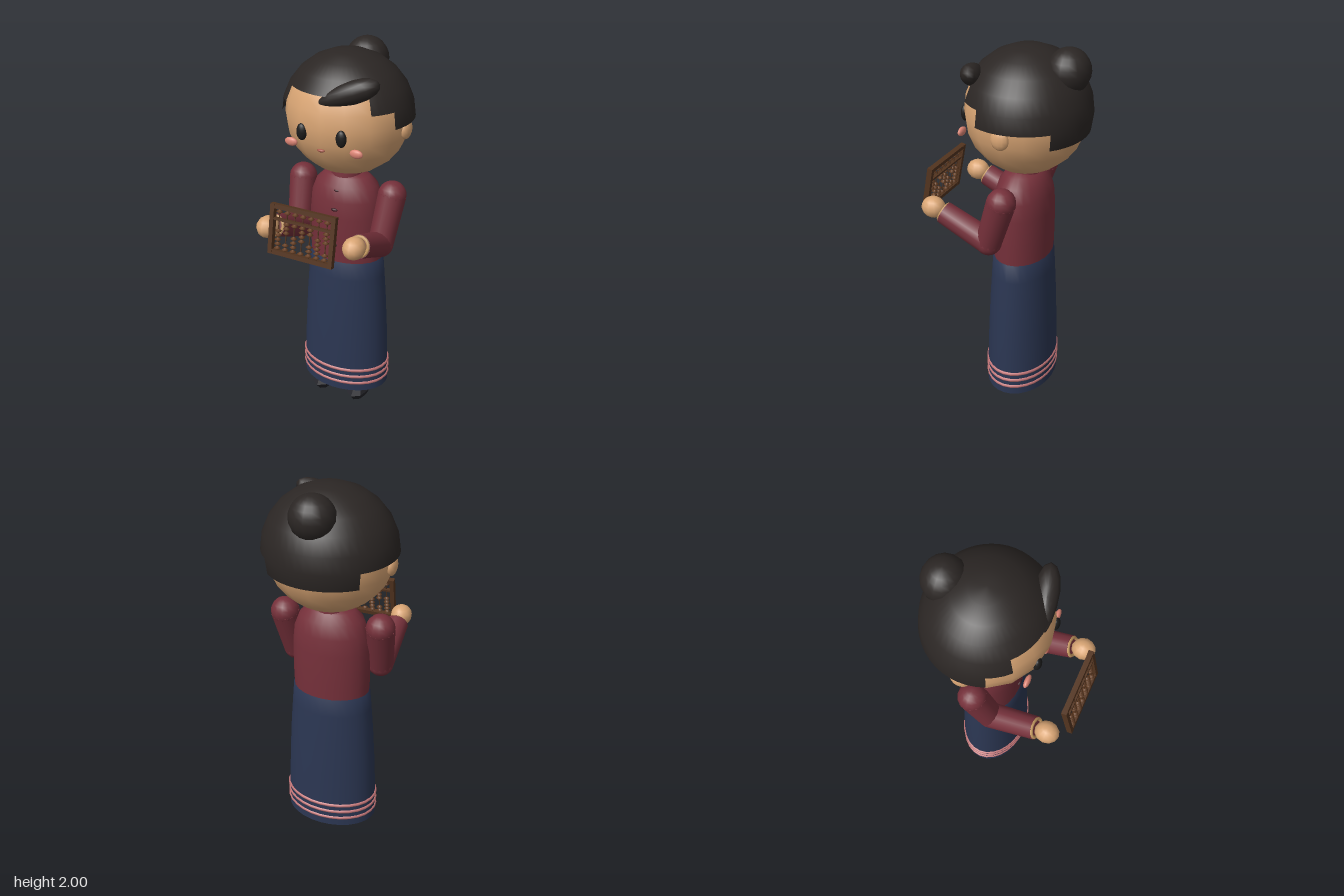
import * as THREE from 'three';

const mat = (color, side = THREE.FrontSide) => new THREE.MeshStandardMaterial({ color, side });
const V = (x, y, z) => new THREE.Vector3(x, y, z);

const SKIN = mat(0xd9a574), HAIR = mat(0x2b2624, THREE.DoubleSide), SHIRT = mat(0x75303a);
const SKIRT = mat(0x2b3652, THREE.DoubleSide), PINK = mat(0xc47678), CHEEK = mat(0xdc8474);
const EYE = mat(0x1c1c1c), SHOE = mat(0x24242a), WOOD = mat(0x53341f), BEAD = mat(0x6b4226);
const BUTTON = mat(0x3f1c22), CUFF = mat(0xc79a62), MOUTH = mat(0xa8584a);
SHOE.flatShading = true;

export function createModel() {
  const root = new THREE.Group();

  const add = (name, geometry, material, pos = [0, 0, 0], scale = [1, 1, 1], parent = root) => {
    const m = new THREE.Mesh(geometry, material);
    m.name = name;
    m.position.set(...pos);
    m.scale.set(...scale);
    parent.add(m);
    return m;
  };
  const ball = (name, material, pos, radii, ws = 16, hs = 12, parent = root) =>
    add(name, new THREE.SphereGeometry(1, ws, hs), material, pos, radii, parent);
  const lathe = (pts, seg) => new THREE.LatheGeometry(pts.map(p => new THREE.Vector2(...p)), seg);

  // tapered limb between two points
  const limb = (name, a, b, ra, rb, material, parent = root) => {
    const d = b.clone().sub(a);
    const m = add(name, new THREE.CylinderGeometry(rb, ra, d.length(), 14), material,
      a.clone().add(b).multiplyScalar(0.5).toArray(), [1, 1, 1], parent);
    m.quaternion.setFromUnitVectors(V(0, 1, 0), d.normalize());
    return m;
  };

  // body: oval cross-sections around z = -0.09
  const bodyZ = -0.09, oval = 0.72;
  add('skirt', lathe([[0.25, 0.1], [0.246, 0.25], [0.238, 0.45], [0.226, 0.65], [0.214, 0.8],
    [0.205, 0.9], [0.17, 0.905]], 28), SKIRT, [0, 0, bodyZ], [1, 1, oval]);
  add('blouse', lathe([[0.2, 0.88], [0.203, 1.0], [0.202, 1.15], [0.192, 1.24], [0.165, 1.31],
    [0.12, 1.353], [0.07, 1.368]], 24), SHIRT, [0, 0, bodyZ], [1, 1, oval]);
  add('collar', new THREE.CylinderGeometry(0.08, 0.085, 0.04, 16), SHIRT, [0, 1.365, bodyZ]);
  for (const y of [0.15, 0.193, 0.235]) {
    const ring = add('hemStripe', new THREE.TorusGeometry(0.246, 0.01, 6, 28), PINK,
      [0, y, bodyZ], [1, oval, 1]);
    ring.rotation.x = Math.PI / 2;
  }
  [[1.295, 0.025], [1.2, 0.053], [1.1, 0.056], [1.0, 0.056]].forEach(([y, z]) =>
    ball('button', BUTTON, [0, y, z], [0.019, 0.009, 0.01], 8, 6));

  for (const s of [1, -1]) {
    // arm bent forward at the elbow
    const arm = new THREE.Group();
    arm.name = s > 0 ? 'leftArm' : 'rightArm';
    root.add(arm);
    const shoulder = V(s * 0.255, 1.282, -0.085), elbow = V(s * 0.235, 1.035, -0.005);
    const wrist = V(s * 0.236, 1.143, 0.245);
    limb('upperSleeve', shoulder, elbow, 0.073, 0.066, SHIRT, arm);
    limb('lowerSleeve', elbow, wrist, 0.066, 0.059, SHIRT, arm);
    ball('shoulder', SHIRT, shoulder.toArray(), [0.073, 0.073, 0.073], 14, 10, arm);
    ball('elbow', SHIRT, elbow.toArray(), [0.067, 0.067, 0.067], 14, 10, arm);
    const cuff = add('cuff', new THREE.TorusGeometry(0.048, 0.009, 6, 14), CUFF,
      wrist.toArray(), [1, 1, 1], arm);
    cuff.lookAt(wrist.clone().multiplyScalar(2).sub(elbow));
    ball('hand', SKIN, [s * 0.239, 1.162, 0.303], [0.056, 0.056, 0.063], 12, 8, arm);

    // leg and faceted shoe
    add('leg', new THREE.CylinderGeometry(0.05, 0.05, 0.5, 12), SKIN, [s * 0.11, 0.32, -0.09]);
    add('shoe', lathe([[0, 0], [0.68, 0], [1, 0.55], [0.72, 1], [0, 1]], 8), SHOE,
      [s * 0.11, 0.003, -0.045], [0.062, 0.082, 0.11]);

    // facial features in pairs
    ball('ear', SKIN, [s * 0.307, 1.635, -0.105], [0.027, 0.052, 0.046], 12, 8);
    ball('eye', EYE, [s * 0.105, 1.643, 0.18], [0.027, 0.042, 0.019], 14, 10);
    ball('cheek', CHEEK, [s * 0.175, 1.575, 0.162], [0.035, 0.022, 0.014], 12, 8);
  }

  // head
  const headPos = [0, 1.67, -0.1];
  ball('head', SKIN, headPos, [0.317, 0.305, 0.3]);
  ball('mouth', MOUTH, [0, 1.568, 0.183], [0.021, 0.008, 0.01], 10, 6);

  // hair cap: 16 wedges, each cut off at its own ring to give a stepped hairline
  const cap = new THREE.Group();
  cap.name = 'hairCap';
  root.add(cap);
  const step = Math.PI / 8, ring = Math.PI / 12;
  for (let i = 0; i < 16; i++) {
    const phi = (i + 0.5) * step;
    const fromFront = Math.acos(Math.sin(phi)) * 180 / Math.PI;
    const rings = fromFront < 45 ? 4 : fromFront < 67.5 ? 5 : fromFront < 135 ? 6 : 7;
    add('hairPanel', new THREE.SphereGeometry(1, 1, rings, i * step, step, 0, rings * ring),
      HAIR, headPos, [0.332, 0.318, 0.315], cap);
  }
  ball('bun', HAIR, [0, 1.892, -0.303], [0.11, 0.108, 0.105]);

  // swept fringe: ellipsoid thinned toward the inner end
  const fringeGeo = new THREE.SphereGeometry(1, 14, 10);
  const p = fringeGeo.attributes.position;
  for (let i = 0; i < p.count; i++) {
    const k = 0.95 + 0.25 * p.getX(i);
    p.setY(i, p.getY(i) * k);
    p.setZ(i, p.getZ(i) * k);
  }
  fringeGeo.computeVertexNormals();
  const fringe = add('fringe', fringeGeo, HAIR, [0.112, 1.843, 0.122], [0.155, 0.055, 0.055]);
  fringe.rotation.set(0, 0.28, 0.36);

  // abacus, leaning back
  const abacus = new THREE.Group();
  abacus.name = 'abacus';
  abacus.position.set(0, 1.208, 0.378);
  abacus.rotation.x = -0.19;
  root.add(abacus);
  const bar = (name, w, h, x, y, d = 0.026) =>
    add(name, new THREE.BoxGeometry(w, h, d), WOOD, [x, y, 0], [1, 1, 1], abacus);
  for (const s of [1, -1]) {
    bar('frameRail', 0.352, 0.022, 0, s * 0.115);
    bar('frameSide', 0.022, 0.252, s * 0.165, 0, 0.028);
  }
  bar('dividerBar', 0.31, 0.012, 0, 0.052, 0.02);
  const beadGeo = lathe([[0.004, -0.01], [0.0175, 0], [0.004, 0.01]], 8);
  for (let c = 0; c < 7; c++) {
    const x = (c - 3) * 0.043;
    add('rod', new THREE.CylinderGeometry(0.003, 0.003, 0.22, 6), WOOD, [x, 0, 0], [1, 1, 1], abacus);
    const up = (c * 3) % 5;
    const rows = [0.09];
    for (let r = 0; r < 5; r++) rows.push(r < up ? 0.034 - r * 0.022 : -0.094 + (4 - r) * 0.022);
    rows.forEach(y => add('bead', beadGeo, BEAD, [x, y, 0], [1, 1, 0.9], abacus));
  }
  return root;
}
